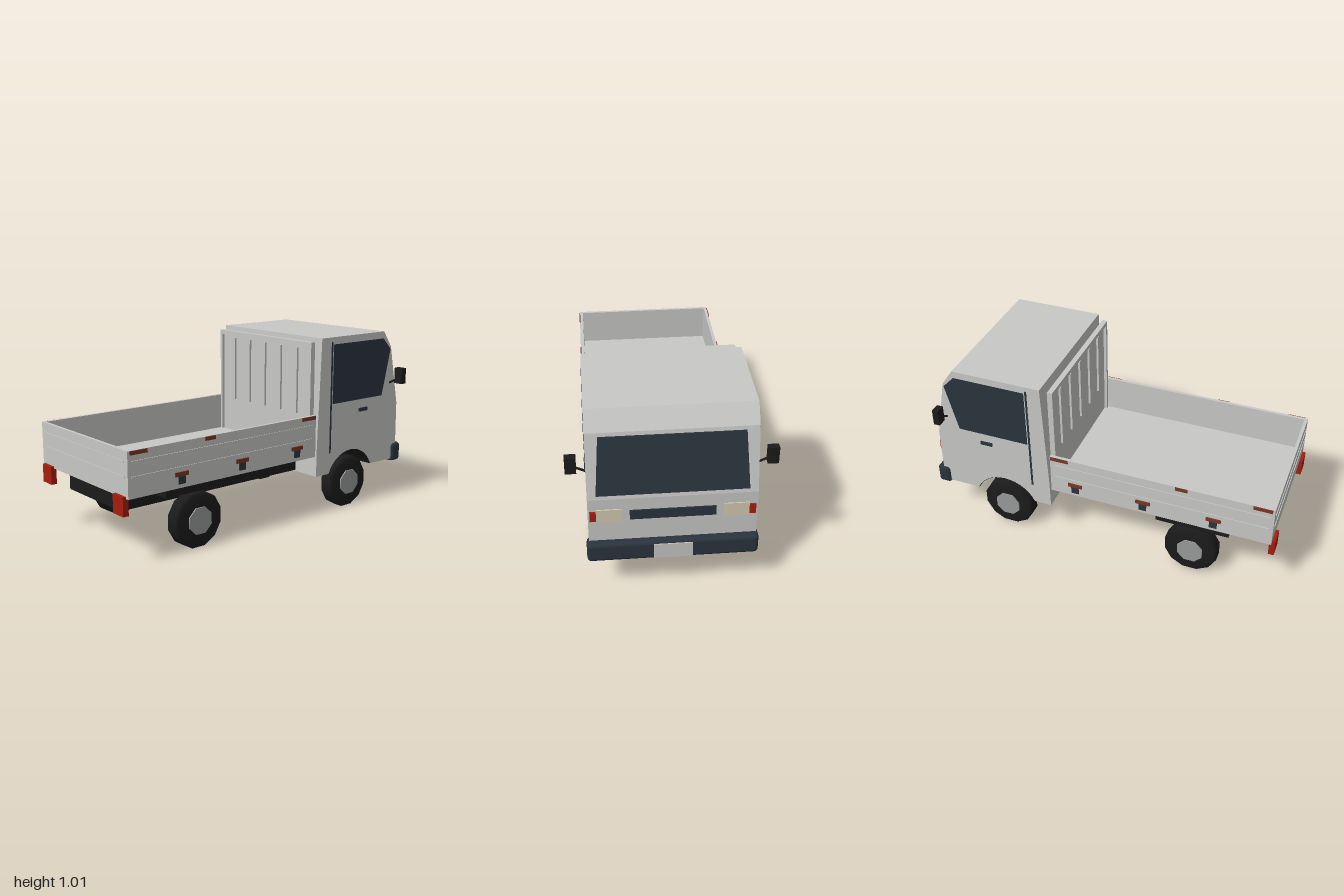
import * as THREE from 'three';
import { RoundedBoxGeometry } from 'three/addons/geometries/RoundedBoxGeometry.js';

const mat = (name, color) => {
  const m = new THREE.MeshStandardMaterial({ color });
  m.name = name;
  return m;
};

export function createModel() {
  const body = mat('body white', 0xc8c8c6);
  const glass = mat('blue grey glass', 0x2a343d);
  const black = mat('black rubber', 0x1b1b1b);
  const hubGrey = mat('hub grey', 0x989b99);
  const red = mat('lamp red', 0xa81e0c);
  const rust = mat('latch brown', 0x783726);
  const cream = mat('headlight cream', 0xd4cbb2);

  const truck = new THREE.Group();
  truck.name = 'truck';
  const W = 0.418; // half width of the body

  function add(name, geometry, material) {
    const mesh = new THREE.Mesh(geometry, material);
    mesh.name = name;
    truck.add(mesh);
    return mesh;
  }
  // Box given by its extents on each axis
  function box(name, m, x0, x1, y0, y1, z0, z1) {
    const g = new THREE.BoxGeometry(x1 - x0, y1 - y0, z1 - z0);
    g.translate((x0 + x1) / 2, (y0 + y1) / 2, (z0 + z1) / 2);
    return add(name, g, m);
  }
  // The same box on both sides of the truck
  function pair(name, m, x0, x1, y0, y1, z0, z1) {
    box(name + 'Left', m, x0, x1, y0, y1, -z1, -z0);
    box(name + 'Right', m, x0, x1, y0, y1, z0, z1);
  }
  const polygon = (pts) => new THREE.Shape(pts.map(([x, y]) => new THREE.Vector2(x, y)));
  // Side profile extruded across the width of the cab
  function acrossCab(shape, halfWidth) {
    const g = new THREE.ExtrudeGeometry(shape, { depth: 2 * halfWidth, bevelEnabled: false, curveSegments: 7 });
    return g.translate(0, 0, -halfWidth);
  }

  // Cab with a wheel arch
  const profile = new THREE.Shape();
  const a = Math.asin(0.08 / 0.195);
  profile.moveTo(0.28, 0.228);
  profile.lineTo(0.378, 0.228);
  profile.absarc(0.56, 0.15, 0.195, Math.PI - a, a, true);
  [[0.96, 0.228], [0.955, 0.575], [0.885, 0.92], [0.82, 1.015], [0.307, 1.015], [0.282, 0.4], [0.28, 0.228]]
    .forEach(([x, y]) => profile.lineTo(x, y));
  add('cab', acrossCab(profile, W), body);

  // Dark lining of the wheel arch
  const lining = new THREE.Shape();
  lining.absarc(0.56, 0.15, 0.196, a, Math.PI - a, false);
  lining.absarc(0.56, 0.15, 0.192, Math.PI - a, a, true);
  add('archLining', acrossCab(lining, W - 0.002), black);

  // Thin plates following the slope of the cab front; points are (z, y)
  const faceX = (y) => (y > 0.575 ? 0.955 - (y - 0.575) * 0.203 : 0.955 + (0.575 - y) * 0.0145);
  function frontPlate(name, m, pts, depth = 0.006) {
    const g = new THREE.ExtrudeGeometry(polygon(pts), { depth, bevelEnabled: false });
    g.rotateY(Math.PI / 2);
    const p = g.attributes.position;
    for (let i = 0; i < p.count; i++) p.setX(i, p.getX(i) + faceX(p.getY(i)));
    g.computeVertexNormals();
    add(name, g, m);
  }
  const rect = (u0, u1, y0, y1) => [[u0, y0], [u1, y0], [u1, y1], [u0, y1]];
  frontPlate('windshield', glass, [[-0.375, 0.598], [0.375, 0.598], [0.355, 0.9], [-0.355, 0.9]]);
  frontPlate('grille', glass, rect(-0.213, 0.213, 0.45, 0.505));
  for (const s of [-1, 1]) {
    const span = (u, v) => (s < 0 ? [-v, -u] : [u, v]);
    frontPlate('headlight', cream, rect(...span(0.25, 0.376), 0.44, 0.515));
    frontPlate('turnSignal', red, rect(...span(0.378, 0.409), 0.45, 0.505), 0.0095);
  }

  // Side windows, door seams and handles
  for (const s of [-1, 1]) {
    const g = new THREE.ExtrudeGeometry(
      polygon([[0.4, 0.635], [0.815, 0.635], [0.88, 0.906], [0.815, 0.974], [0.4, 0.974]]),
      { depth: 0.002, bevelEnabled: false });
    g.translate(0, 0, s > 0 ? W : -W - 0.002);
    add('sideWindow', g, glass);
  }
  pair('doorSeam', glass, 0.382, 0.393, 0.35, 0.988, W, W + 0.002);
  pair('doorHandle', glass, 0.618, 0.688, 0.563, 0.583, W, W + 0.008);

  // Bumper with plate panel
  const bumper = new RoundedBoxGeometry(0.08, 0.113, 0.86, 2, 0.022);
  bumper.translate(0.957, 0.2675, 0);
  add('bumper', bumper, glass);
  box('platePanel', body, 0.99, 1.0, 0.222, 0.31, -0.097, 0.097);

  // Mirrors on angled arms
  for (const s of [-1, 1]) {
    const arm = new THREE.LineCurve3(
      new THREE.Vector3(0.885, 0.7, s * 0.41), new THREE.Vector3(0.895, 0.745, s * 0.49));
    add('mirrorArm', new THREE.TubeGeometry(arm, 1, 0.006, 6), black);
  }
  pair('mirror', black, 0.876, 0.912, 0.708, 0.8, 0.461, 0.516);

  // Load bed: floor, side walls and tailgate
  box('bedFloor', body, -0.975, 0.27, 0.348, 0.378, -W + 0.005, W - 0.005);
  pair('bedSide', body, -0.982, 0.27, 0.348, 0.587, W - 0.018, W);
  box('tailgate', body, -0.982, -0.964, 0.348, 0.587, -W + 0.018, W - 0.018);
  for (const y of [0.45, 0.527]) {
    pair('sideRib', body, -0.96, 0.25, y, y + 0.009, W, W + 0.004);
    box('tailgateRib', body, -0.986, -0.982, y, y + 0.009, -0.39, 0.39);
  }

  // Headboard between bed and cab: panel, frame and vertical ribs
  box('headboardPanel', body, 0.262, 0.277, 0.378, 0.99, -0.39, 0.39);
  box('headboardRail', body, 0.245, 0.274, 0.97, 0.995, -0.395, 0.395);
  pair('headboardPost', body, 0.245, 0.274, 0.378, 0.97, 0.378, 0.395);
  for (let i = -2; i <= 2; i++) {
    box('headboardRib', body, 0.25, 0.262, 0.58, 0.955, i * 0.135 - 0.008, i * 0.135 + 0.008);
  }

  // Edge strips and drop-side latches
  for (const [x0, x1] of [[-0.97, -0.868], [-0.515, -0.448], [0.163, 0.265]]) {
    pair('edgeStrip', rust, x0, x1, 0.566, 0.586, W, W + 0.005);
  }
  for (const x of [-0.665, -0.27, 0.125]) {
    pair('latchPlate', rust, x - 0.041, x + 0.041, 0.41, 0.432, W, W + 0.006);
    pair('latchCatch', glass, x - 0.021, x + 0.021, 0.37, 0.41, W, W + 0.007);
  }

  // Chassis, rear mudguards and tail lamps
  box('chassis', black, -0.92, 0.285, 0.235, 0.35, -0.25, 0.25);
  pair('mudguard', black, -0.75, -0.34, 0.304, 0.35, 0.3, 0.4);
  pair('tailLamp', red, -1.0, -0.968, 0.259, 0.359, 0.307, 0.397);

  // Wheels: chamfered tyres and hubs turned around the z axis
  const tyrePoints = [[0.05, -0.045], [0.136, -0.045], [0.153, -0.03],
    [0.153, 0.03], [0.136, 0.045], [0.05, 0.045]];
  const tyre = new THREE.LatheGeometry(tyrePoints.map(([r, h]) => new THREE.Vector2(r, h)), 12);
  tyre.rotateY(Math.PI / 12).rotateX(Math.PI / 2);
  const hub = new THREE.CylinderGeometry(0.076, 0.076, 0.106, 8);
  hub.rotateY(Math.PI / 8).rotateX(Math.PI / 2);
  for (const x of [0.56, -0.545]) {
    for (const z of [-0.364, 0.364]) {
      add('tyre', tyre, black).position.set(x, 0.148, z);
      add('hub', hub, hubGrey).position.set(x, 0.148, z);
    }
  }
  return truck;
}
